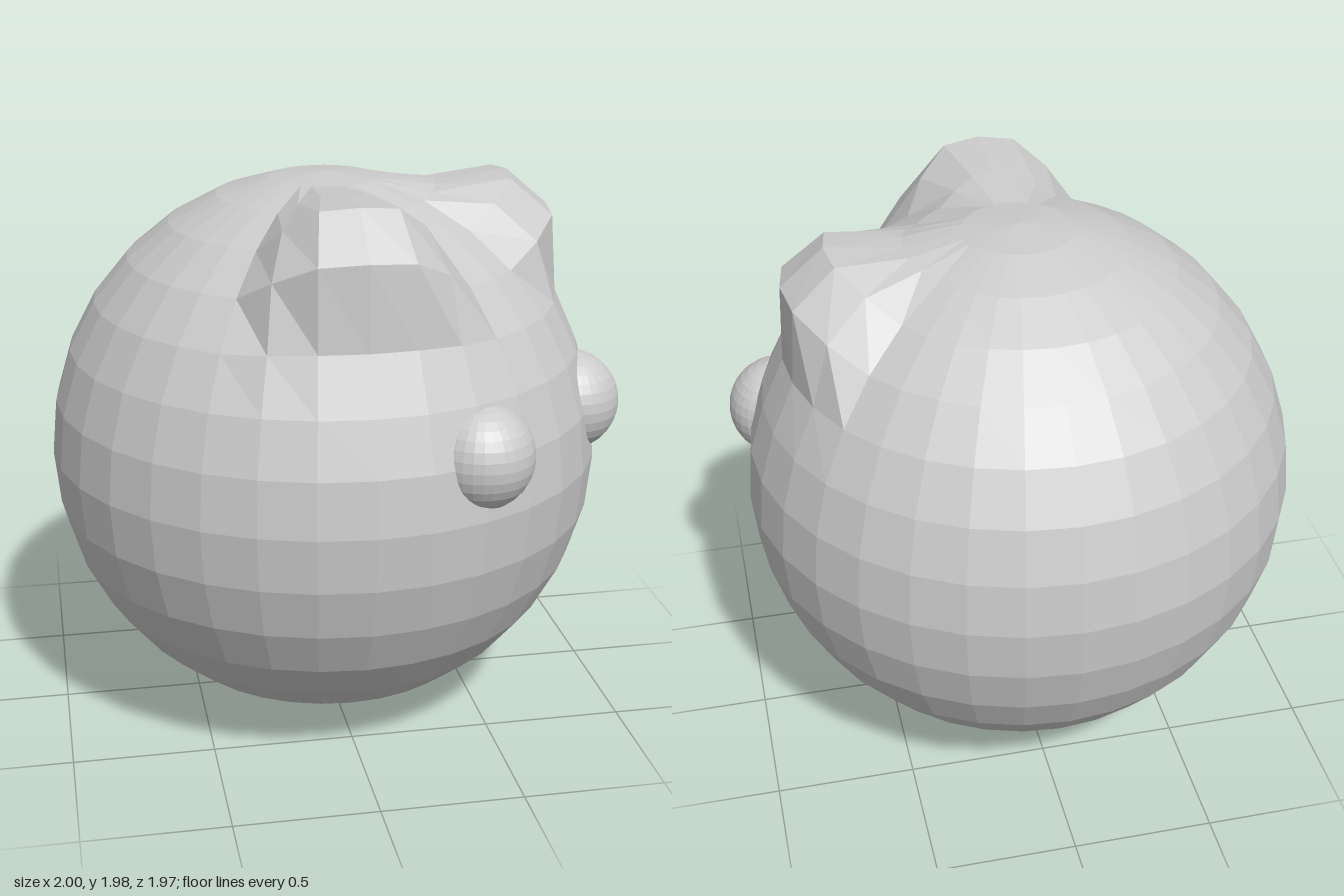
import * as THREE from 'three';

const RADIUS = 0.985;
const SEGMENTS = 32;
const RINGS = 16;

const flatGrey = () => new THREE.MeshStandardMaterial({ color: 0xcccccc, flatShading: true });

// Ears are pulled out of the ball: ring index -> [outward, upward] shift.
const EARS = [
  { column: 8, shift: { 2: [0.02, 0.075], 3: [0.127, 0.18], 4: [0.123, 0.155], 5: [0.012, 0.02] } },
  { column: 16, shift: { 2: [0.02, 0.03], 3: [0.115, 0.15], 4: [0.118, 0.143], 5: [0.008, 0.015] } },
];
const FALLOFF = [1, 0.93, 0.5];

function createBody() {
  const geometry = new THREE.SphereGeometry(RADIUS, SEGMENTS, RINGS);
  const pos = geometry.attributes.position;
  for (const { column, shift } of EARS) {
    const angle = (column / SEGMENTS) * Math.PI * 2;
    for (const ring of Object.keys(shift)) {
      const [out, up] = shift[ring];
      for (let j = -2; j <= 2; j++) {
        const w = FALLOFF[Math.abs(j)];
        const i = Number(ring) * (SEGMENTS + 1) + column + j;
        const a = angle + (j / SEGMENTS) * Math.PI * 2;
        pos.setXYZ(i,
          pos.getX(i) - Math.cos(a) * out * w,
          pos.getY(i) + up * w,
          pos.getZ(i) + Math.sin(a) * out * w);
      }
    }
  }
  geometry.computeVertexNormals();
  const body = new THREE.Mesh(geometry, flatGrey());
  body.name = 'bodyWithEars';
  body.position.set(-0.015, 0.99, 0);
  return body;
}

function createEye(name, x, z) {
  const eye = new THREE.Mesh(new THREE.SphereGeometry(0.181, 32, 16), flatGrey());
  eye.name = name;
  eye.position.set(x, 1.178, z);
  return eye;
}

export function createModel() {
  const model = new THREE.Group();
  model.name = 'roundCreature';
  model.add(createBody());
  // The face looks along the diagonal between +x and +z
  model.add(createEye('rightEye', 0.365, 0.79));
  model.add(createEye('leftEye', 0.819, 0.293));
  return model;
}
